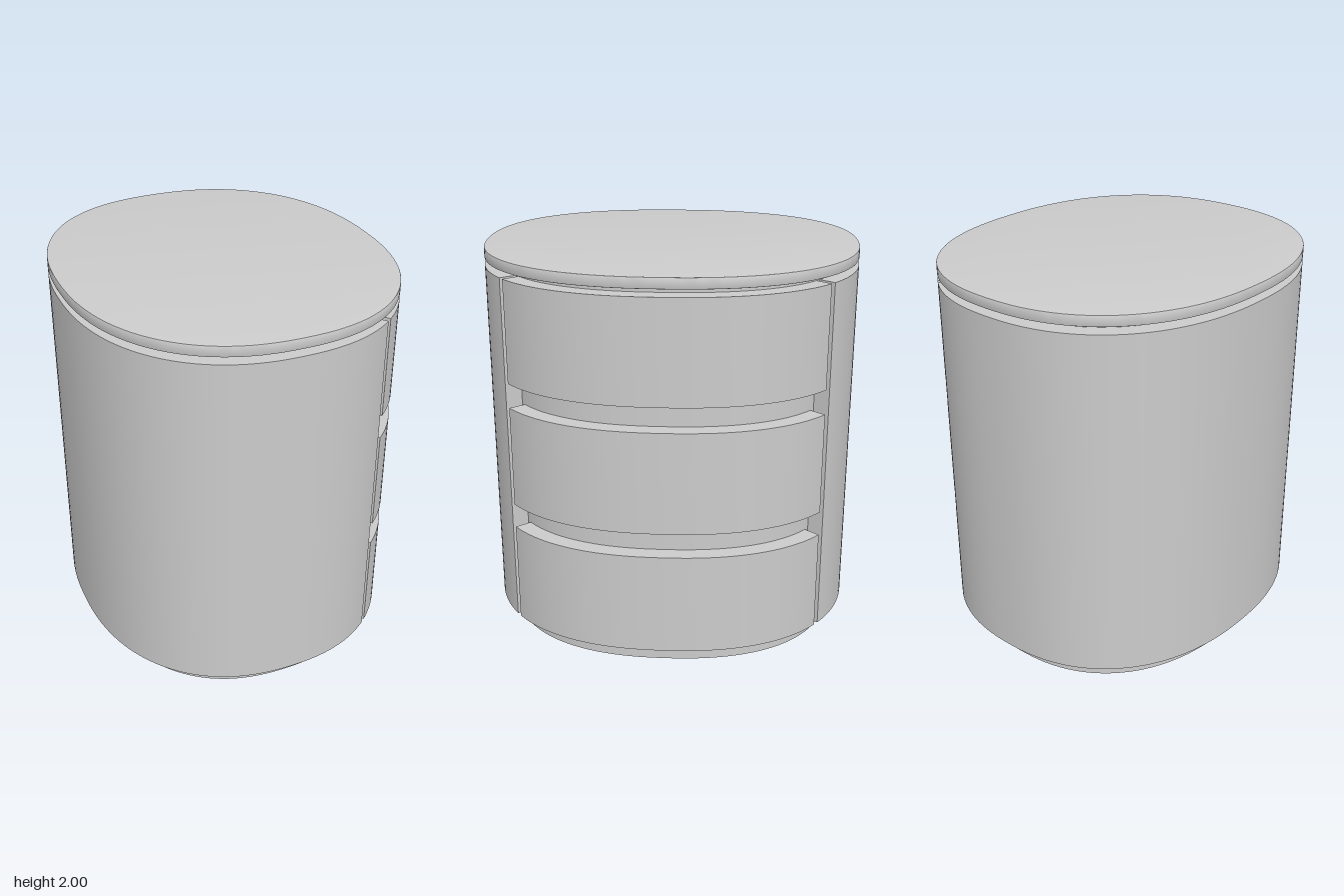
import * as THREE from 'three';
import { toCreasedNormals } from 'three/addons/utils/BufferGeometryUtils.js';

const A = 0.814, B = 0.936, N = 2.28; // half width, half depth, squareness of the plan
const WALL = 0.087;                   // thickness of shell and drawer fronts
const spow = (v, p) => Math.sign(v) * Math.pow(Math.abs(v), p);

// Point of the rounded plan at angle t, moved inward along its normal
function planPoint(t, inset = 0) {
  const c = Math.cos(t), s = Math.sin(t);
  const x = A * spow(c, 2 / N), y = B * spow(s, 2 / N);
  const n = new THREE.Vector2(spow(x / A, N - 1) / A, spow(y / B, N - 1) / B).normalize();
  return new THREE.Vector2(x - n.x * inset, y - n.y * inset);
}

function planArc(t0, t1, inset, steps) {
  return Array.from({ length: steps + 1 }, (_, i) => planPoint(t0 + (t1 - t0) * i / steps, inset));
}

const fullPlan = (inset) => planArc(0, Math.PI * 2, inset, 128).slice(0, -1);

// Curved panel between two angles, with ends cut square to the curve
function panelShape(t0, t1, steps) {
  return new THREE.Shape([...planArc(t0, t1, 0, steps), ...planArc(t1, t0, WALL, steps)]);
}

// Angle at which the outer curve reaches a given x
const angleAtX = (x) => Math.acos(Math.pow(x / A, N / 2));

export function createModel() {
  const group = new THREE.Group();
  const material = new THREE.MeshStandardMaterial({ color: 0xcccccc });

  // Extrude a plan upward from y0 to y1, with an optional small edge rounding
  function addPart(name, shape, y0, y1, bevel = 0) {
    const geometry = new THREE.ExtrudeGeometry(shape, {
      depth: y1 - y0 - 2 * bevel, bevelEnabled: bevel > 0, bevelSize: bevel,
      bevelThickness: bevel, bevelOffset: -bevel, bevelSegments: 2,
    });
    geometry.rotateX(-Math.PI / 2);
    geometry.translate(0, y0 + bevel, 0);
    const mesh = new THREE.Mesh(toCreasedNormals(geometry, 0.5), material);
    mesh.name = name;
    group.add(mesh);
  }

  // Hollow inner carcass, showing as plinth, drawer recesses and lid gap
  const carcass = new THREE.Shape(fullPlan(WALL));
  carcass.holes.push(new THREE.Path(fullPlan(WALL + 0.01).reverse()));
  addPart('carcass', carcass, 0, 1.945);

  // Outer shell, open on the drawer side
  const shellEnd = angleAtX(0.5);
  addPart('shell', panelShape(shellEnd, Math.PI * 2 - shellEnd, 96), 0.1, 1.91);

  // Three curved drawer fronts
  const drawerEnd = angleAtX(0.522);
  for (let i = 0; i < 3; i++) {
    const y = 0.1 + i * 0.645;
    addPart(`drawerFront${i + 1}`, panelShape(-drawerEnd, drawerEnd, 48), y, y + 0.52);
  }

  // Lid
  addPart('lid', new THREE.Shape(fullPlan(0)), 1.945, 2, 0.005);

  return group;
}
